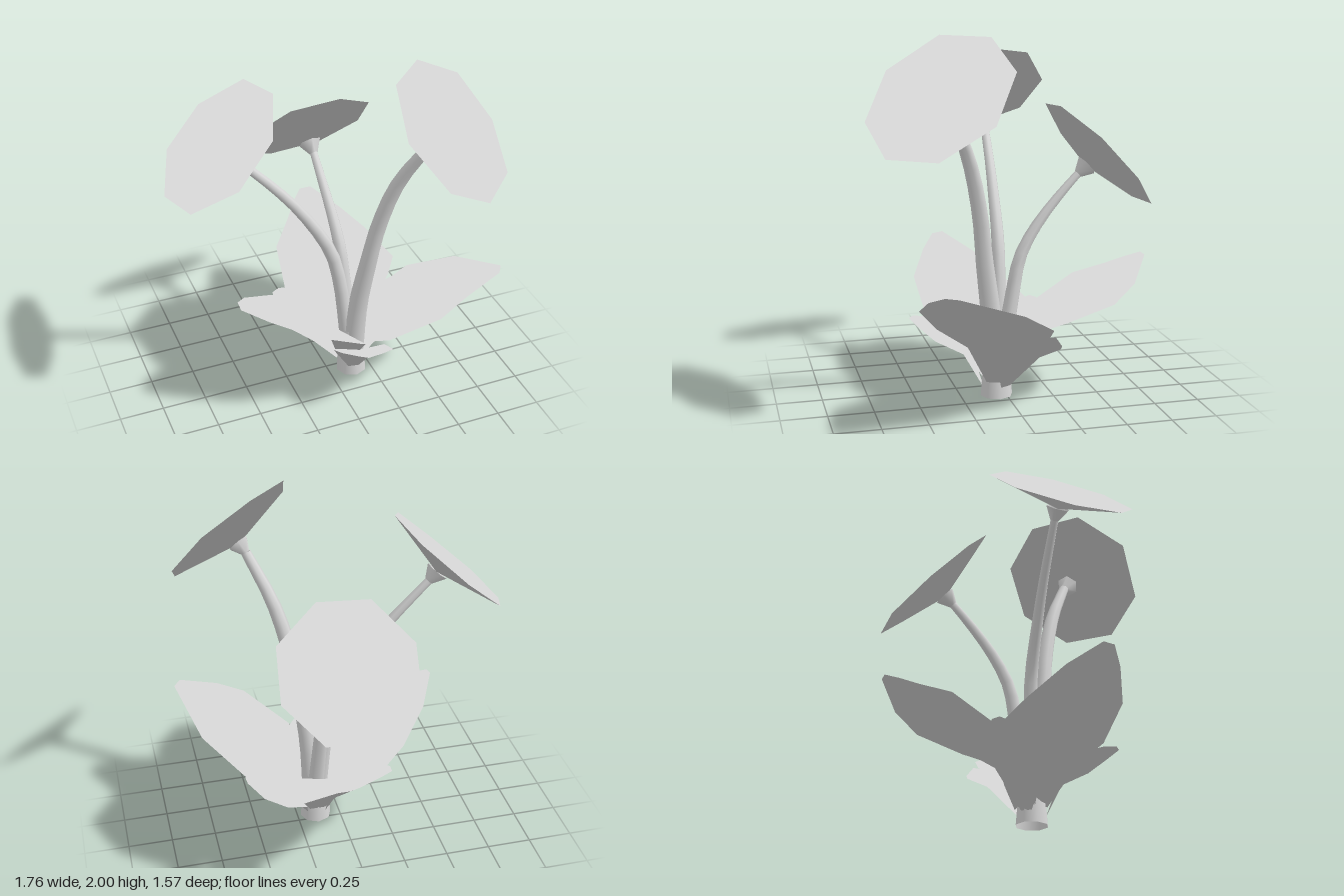
import * as THREE from 'three';

const V = (p) => new THREE.Vector3(...p);

// Foliage surface through equal-length rows of points, facing up with upright normals
function foliage(rows) {
  const n = rows[0].length, pos = [], idx = [];
  rows.forEach((r) => r.forEach((p) => pos.push(p.x, p.y, p.z)));
  for (let i = 0; i < rows.length - 1; i++) {
    for (let j = 0; j < n - 1; j++) {
      const a = i * n + j, b = a + n;
      idx.push(a, a + 1, b, b, a + 1, b + 1);
    }
  }
  const g = new THREE.BufferGeometry();
  g.setAttribute('position', new THREE.Float32BufferAttribute(pos, 3));
  g.setIndex(idx);
  g.computeVertexNormals();
  const normals = g.attributes.normal;
  let up = 0;
  for (let i = 0; i < normals.count; i++) up += normals.getY(i);
  if (up < 0) g.setIndex(idx.reverse());
  for (let i = 0; i < normals.count; i++) normals.setXYZ(i, 0, 1, 0);
  return g;
}

// Leaf spanned between its two edges, slightly folded at the midrib
function leafGeometry(edgeA, edgeB) {
  return foliage(edgeA.map((p, i) => {
    const a = V(p), b = V(edgeB[i]), mid = a.clone().lerp(b, 0.5);
    if (i > 0 && i < edgeA.length - 1) mid.y -= 0.02;
    return [a, mid, b];
  }));
}

// Tapering tube: each ring is scaled about its centre on the curve
function stemGeometry(points, radii) {
  const segs = 14, sides = 8;
  const curve = new THREE.CatmullRomCurve3(points.map(V));
  const g = new THREE.TubeGeometry(curve, segs, 1, sides);
  const pos = g.attributes.position, v = new THREE.Vector3();
  for (let i = 0; i <= segs; i++) {
    const t = i / segs, c = curve.getPointAt(t);
    const f = t * (radii.length - 1), k = Math.min(Math.floor(f), radii.length - 2);
    const r = THREE.MathUtils.lerp(radii[k], radii[k + 1], f - k);
    for (let j = 0; j <= sides; j++) {
      const n = i * (sides + 1) + j;
      v.fromBufferAttribute(pos, n).sub(c).multiplyScalar(r).add(c);
      pos.setXYZ(n, v.x, v.y, v.z);
    }
  }
  return g;
}

export function createModel() {
  const group = new THREE.Group();
  const grey = new THREE.MeshStandardMaterial({ color: 0xd8d8d8, side: THREE.DoubleSide });
  grey.name = 'plantGrey';
  const add = (geometry, name) => {
    const m = new THREE.Mesh(geometry, grey);
    m.name = name;
    group.add(m);
    return m;
  };

  // Trunk, open below
  add(new THREE.CylinderGeometry(0.065, 0.09, 0.3, 8, 1, true), 'trunk').position.set(0.14, 0.155, 0.05);

  // Flowers: octagonal rim and the stem that carries it
  const flowers = [
    {
      name: 'frontFlower',
      rim: [[0.22, 2, 0.37], [0.44, 2, 0.15], [0.71, 1.85, 0.09], [0.86, 1.61, 0.23],
        [0.82, 1.44, 0.5], [0.6, 1.43, 0.72], [0.34, 1.58, 0.78], [0.17, 1.82, 0.64]],
      stem: [[0.145, 0.1, 0.05], [0.165, 0.5, 0.09], [0.2, 0.78, 0.13], [0.245, 1.05, 0.165], [0.32, 1.34, 0.235]],
      radii: [0.07, 0.056, 0.046, 0.04, 0.028],
    },
    {
      name: 'sideFlower',
      rim: [[-0.3, 1.89, 0.03], [-0.36, 1.85, -0.26], [-0.57, 1.67, -0.41], [-0.78, 1.48, -0.33],
        [-0.88, 1.37, -0.05], [-0.82, 1.41, 0.23], [-0.61, 1.58, 0.38], [-0.4, 1.78, 0.3]],
      stem: [[0.13, 0.1, 0.05], [0.07, 0.65, 0.02], [0.02, 0.84, 0.01], [-0.13, 1.1, 0], [-0.27, 1.28, -0.01]],
      radii: [0.05, 0.042, 0.036, 0.028, 0.022],
    },
    {
      name: 'backFlower',
      rim: [[-0.09, 1.59, -0.29], [0.2, 1.61, -0.29], [0.44, 1.47, -0.44], [0.46, 1.25, -0.64],
        [0.27, 1.07, -0.79], [-0.04, 1.05, -0.79], [-0.27, 1.18, -0.64], [-0.29, 1.39, -0.44]],
      stem: [[0.15, 0.1, 0.04], [0.13, 0.55, -0.04], [0.12, 0.78, -0.09], [0.11, 0.94, -0.18], [0.1, 1.1, -0.31]],
      radii: [0.05, 0.044, 0.038, 0.03, 0.022],
    },
  ];
  for (const { name, rim, stem, radii } of flowers) {
    const pts = rim.map(V);
    const centre = pts.reduce((s, p) => s.add(p), new THREE.Vector3()).divideScalar(8);
    const normal = pts[0].clone().sub(pts[4]).cross(pts[2].clone().sub(pts[6])).normalize();
    if (normal.y < 0) normal.negate();
    const along = (d) => centre.clone().addScaledVector(normal, d);

    // Dished petal disc
    const ring = [...pts, pts[0]];
    add(foliage([ring.map(() => along(-0.095)), ring]), name + 'Petals');

    // Flared cup under the disc
    const cup = add(new THREE.CylinderGeometry(0.065, 0.024, 0.07, 6, 1, true), name + 'Cup');
    cup.position.copy(along(-0.124));
    cup.quaternion.setFromUnitVectors(new THREE.Vector3(0, 1, 0), normal);

    add(stemGeometry([...stem, along(-0.155).toArray()], radii), name + 'Stem');
  }

  // Large leaves: two edges, base to tip
  const large = [
    ['rightLeaf',
      [[0.2, 0.1, 0.12], [0.18, 0.3, 0.22], [0.22, 0.43, 0.4], [0.46, 0.61, 0.54], [0.62, 0.7, 0.52], [0.84, 0.78, 0.48]],
      [[0.23, 0.1, 0.04], [0.32, 0.32, -0.11], [0.475, 0.42, -0.16], [0.58, 0.49, -0.15], [0.78, 0.64, 0.06], [0.88, 0.78, 0.42]]],
    ['leftLeaf',
      [[0.06, 0.1, 0.04], [0, 0.32, -0.08], [-0.17, 0.43, -0.23], [-0.34, 0.53, -0.13], [-0.5, 0.67, 0.03], [-0.59, 0.78, 0.2]],
      [[0.09, 0.1, 0.12], [0.12, 0.36, 0.3], [0.04, 0.48, 0.43], [-0.23, 0.61, 0.44], [-0.46, 0.71, 0.34], [-0.59, 0.77, 0.26]]],
    ['backLeaf',
      [[0.19, 0.1, -0.03], [0.36, 0.38, -0.08], [0.46, 0.46, -0.15], [0.53, 0.51, -0.24],
        [0.46, 0.57, -0.52], [0.36, 0.65, -0.67], [0.21, 0.77, -0.78]],
      [[0.1, 0.1, -0.03], [-0.085, 0.3, -0.07], [-0.16, 0.43, -0.23], [-0.13, 0.6, -0.47],
        [0, 0.68, -0.62], [0.07, 0.73, -0.71], [0.14, 0.77, -0.78]]],
  ];
  for (const [name, edgeA, edgeB] of large) add(leafGeometry(edgeA, edgeB), name);

  // Small leaves: one shape [outward, height, sideways] turned about the trunk,
  // the second edge lifted by its own amount
  const smallA = [[0.08, 0.07, 0.03], [0.15, 0.26, 0.13], [0.27, 0.37, 0.17], [0.38, 0.42, 0.12], [0.46, 0.45, 0.04]];
  const smallB = [[0.08, 0.07, -0.03], [0.18, 0.23, -0.16], [0.33, 0.31, -0.18], [0.43, 0.37, -0.1], [0.48, 0.45, -0.01]];
  for (const [degrees, lift] of [[-25, 0], [103, 0.06], [-141, 0.04]]) {
    const a = THREE.MathUtils.degToRad(degrees), c = Math.cos(a), s = Math.sin(a);
    const turn = ([d, y, w]) => [0.14 + d * c - w * s, y, 0.05 + d * s + w * c];
    const raised = smallB.map(([d, y, w], i) => [d, i % 4 ? y + lift : y, w]);
    add(leafGeometry(smallA.map(turn), raised.map(turn)), 'smallLeaf');
  }

  return group;
}
